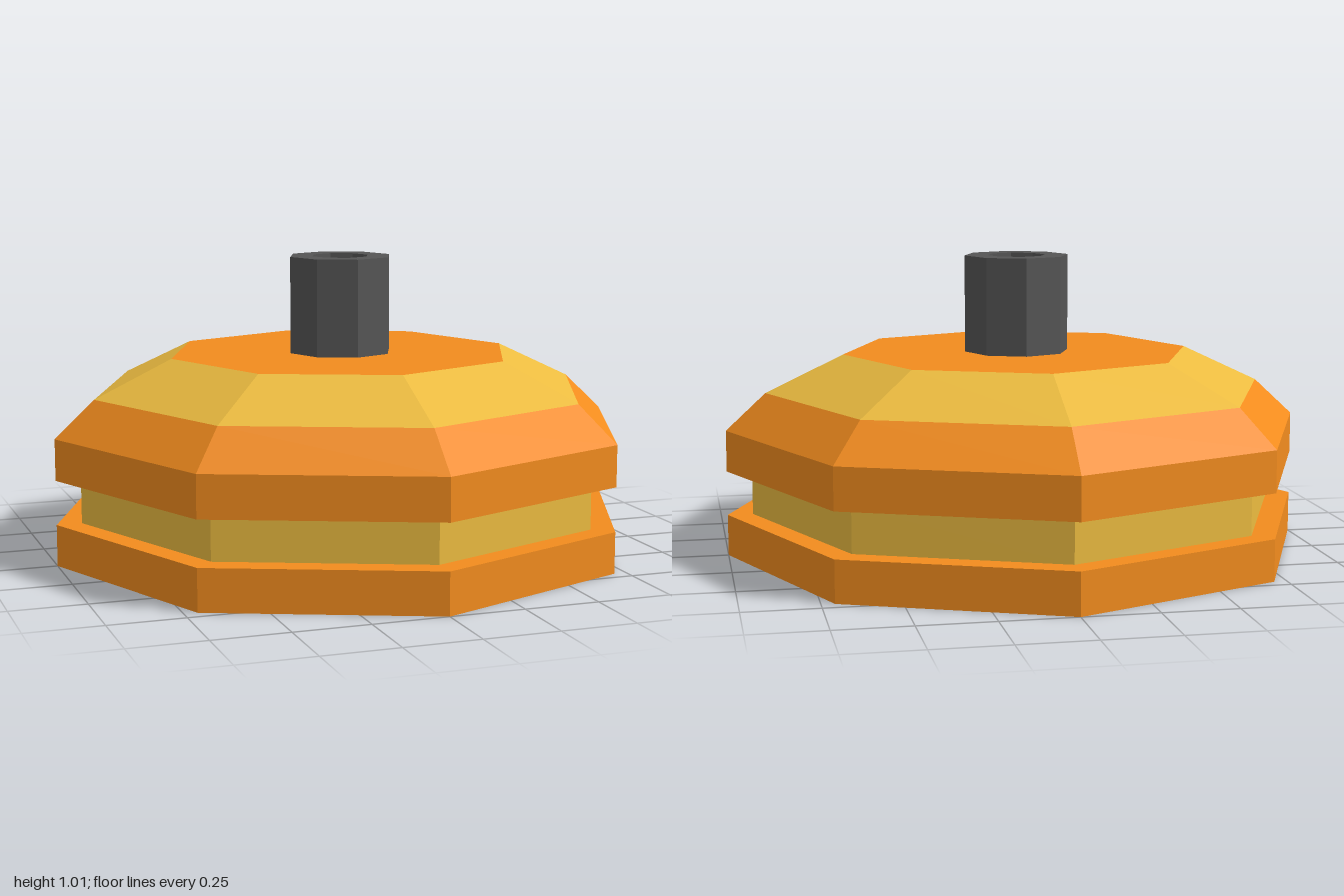
import * as THREE from 'three';

const SIDES = 8;

// Flat-shaded octagonal shell turned from a [radius, height] profile, listed bottom to top
function turned(name, profile, color) {
  const points = profile.map(([r, y]) => new THREE.Vector2(r, y));
  const mesh = new THREE.Mesh(
    new THREE.LatheGeometry(points, SIDES),
    new THREE.MeshStandardMaterial({ color, flatShading: true, side: THREE.DoubleSide })
  );
  mesh.name = name;
  return mesh;
}

export function createModel() {
  const orange = 0xf28c1e, yellow = 0xebbb40, grey = 0x555555;
  const model = new THREE.Group();
  model.name = 'octagonalCap';
  model.add(
    // Open-bottomed lower rim with its ledge
    turned('lowerRim', [[1, 0], [1, 0.14], [0.915, 0.14]], orange),
    // Recessed band between the rims
    turned('recessedBand', [[0.915, 0.14], [0.915, 0.29]], yellow),
    // Upper rim and first slope of the dome
    turned('upperRim', [[0.915, 0.29], [1, 0.29], [1, 0.43], [0.865, 0.555]], orange),
    // Second slope of the dome
    turned('domeBand', [[0.865, 0.555], [0.6, 0.68]], yellow),
    // Flat top
    turned('topPlate', [[0.6, 0.68], [0, 0.68]], orange),
    // Hollow stem with a closed floor
    turned('stem', [[0.18, 0.68], [0.18, 1.01], [0.1, 1.01], [0.1, 0.69], [0, 0.69]], grey)
  );
  return model;
}
